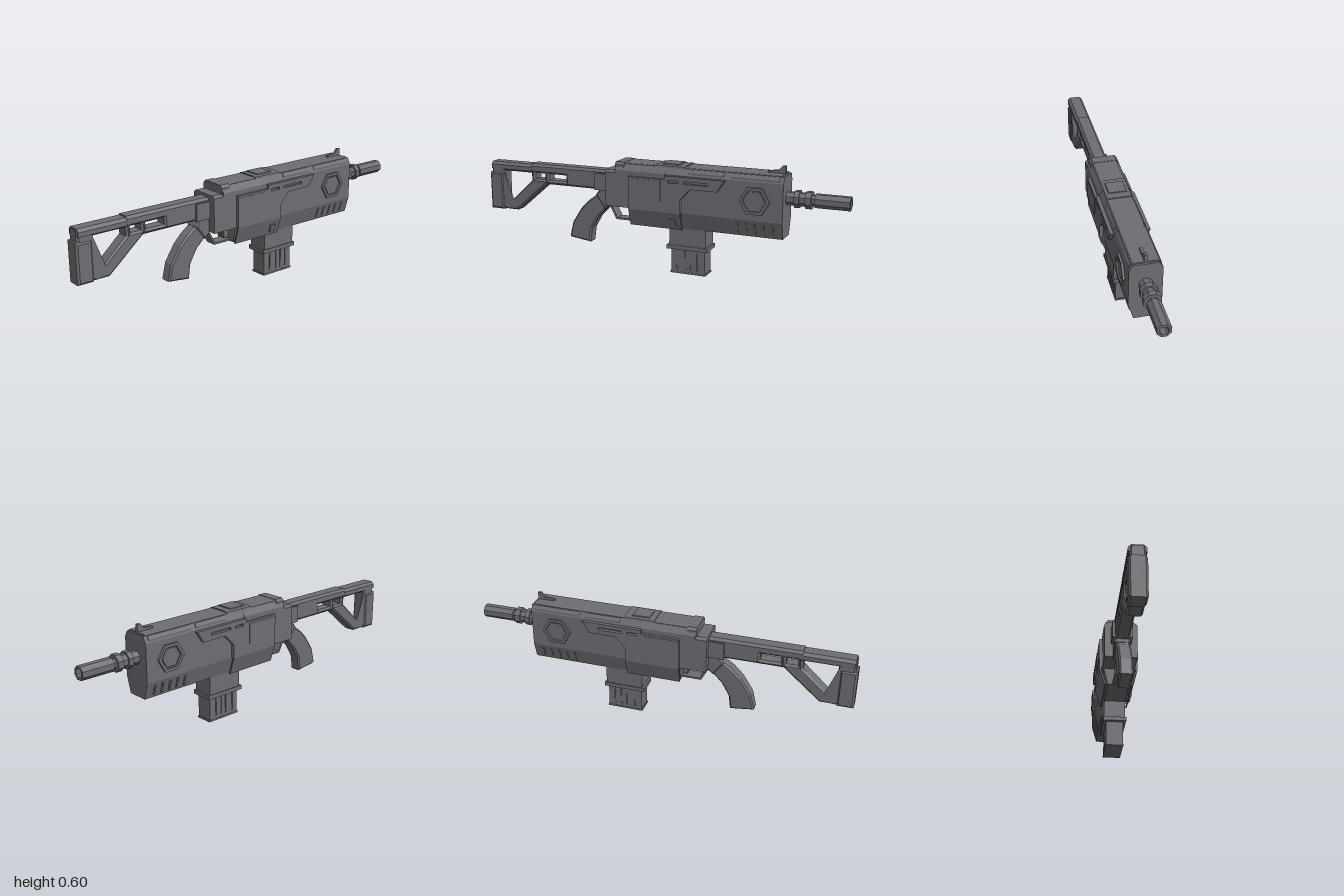
import * as THREE from 'three';

export function createModel() {
  const model = new THREE.Group();
  const gunmetal = new THREE.MeshStandardMaterial({ color: 0x6e6d73 });
  gunmetal.name = 'gunmetal';

  const add = (geo, name) => {
    const mesh = new THREE.Mesh(geo, gunmetal);
    mesh.name = name;
    model.add(mesh);
    return mesh;
  };
  const v2 = (pts) => pts.map(([x, y]) => new THREE.Vector2(x, y));
  const makeShape = (pts, holes = []) => {
    const s = new THREE.Shape(v2(pts));
    holes.forEach((h) => s.holes.push(new THREE.Path(v2(h))));
    return s;
  };
  // Side outline given thickness from z0 to z1, with an optional chamfer
  const slab = (name, pts, z0, z1, { holes, bevel = 0 } = {}) => {
    const geo = new THREE.ExtrudeGeometry(makeShape(pts, holes), {
      depth: z1 - z0 - 2 * bevel, bevelEnabled: bevel > 0, bevelSegments: 1,
      bevelSize: bevel, bevelThickness: bevel, bevelOffset: -bevel,
    });
    return add(geo.translate(0, 0, z0 + bevel), name);
  };
  // The same plate on both flanks
  const flanks = (name, pts, z0, z1, opt) => {
    slab(name + 'Left', pts, z0, z1, opt);
    slab(name + 'Right', pts, -z1, -z0, opt);
  };
  // Cross-section (z, y) carried along x
  const bar = (name, section, x0, x1, holes) => {
    const geo = new THREE.ExtrudeGeometry(makeShape(section, holes), { depth: x1 - x0, bevelEnabled: false });
    return add(geo.rotateY(Math.PI / 2).translate(x0, 0, 0), name);
  };
  const rect = (x0, y0, x1, y1) => [[x0, y0], [x1, y0], [x1, y1], [x0, y1]];
  const box = (name, x0, x1, y0, y1, z) => slab(name, rect(x0, y0, x1, y1), -z, z);
  const mirror = (half) => [...half, ...half.map(([z, y]) => [-z, y]).reverse()];
  const ngon = (n, r, cx, cy, turn = 0) => Array.from({ length: n }, (_, i) => {
    const a = turn + (i * 2 * Math.PI) / n;
    return [cx + r * Math.cos(a), cy + r * Math.sin(a)];
  });
  const octagon = (half) => ngon(8, half / Math.cos(Math.PI / 8), 0, 0.4425, Math.PI / 8);

  // Receiver
  const shell = mirror([[0.055, 0.245], [0.08, 0.33], [0.08, 0.525], [0.063, 0.556]]);
  bar('frontShroud', shell, 0.08, 0.69);
  bar('lowerReceiver', mirror([[0.055, 0.245], [0.076, 0.335]]), -0.12, 0.08);
  bar('receiver', mirror([[0.083, 0.33], [0.083, 0.525], [0.063, 0.556]]), -0.2, 0.08);
  bar('receiverRear', mirror([[0.083, 0.33], [0.083, 0.51], [0.07, 0.522]]), -0.26, -0.2);

  // Top rail, covers and front sight
  bar('topRail', mirror([[0.062, 0.55], [0.062, 0.559], [0.056, 0.563]]), -0.16, 0.68);
  bar('rearTopBlock', mirror([[0.074, 0.515], [0.074, 0.55], [0.062, 0.565]]), -0.205, -0.155);
  bar('topCover', mirror([[0.066, 0.545], [0.062, 0.564], [0.05, 0.568]]), 0.02, 0.18);
  bar('topCoverCap', mirror([[0.05, 0.56], [0.044, 0.573]]), 0.05, 0.14);
  for (const [x0, x1] of [[0.2, 0.39], [0.42, 0.67]]) {
    bar('shoulderRail', mirror([[0.077, 0.522], [0.077, 0.54], [0.066, 0.556]]), x0, x1);
  }
  slab('frontSight', [[0.59, 0.555], [0.68, 0.555], [0.68, 0.6], [0.662, 0.6], [0.645, 0.578], [0.59, 0.572]], -0.007, 0.007);

  // Stepped side plates, bending inwards below the waist
  const upperPlate = [[-0.12, 0.33], [0.167, 0.33], [0.165, 0.4], [0.22, 0.46], [0.36, 0.46], [0.4, 0.52], [0.08, 0.52], [0.08, 0.5], [-0.12, 0.5]];
  const vents = [rect(0.1, 0.485, 0.155, 0.498), rect(0.185, 0.485, 0.31, 0.498)];
  flanks('sidePlate', upperPlate, 0.078, 0.098, { holes: vents });
  for (const s of [1, -1]) {
    const skirt = slab('sideSkirt', rect(-0.12, 0.24, 0.167, 0.33), s > 0 ? 0.09 : -0.098, s > 0 ? 0.098 : -0.09);
    const p = skirt.geometry.attributes.position;
    for (let i = 0; i < p.count; i++) p.setZ(i, p.getZ(i) - s * (0.33 - p.getY(i)) * 0.31);
    skirt.geometry.computeVertexNormals();
  }
  flanks('rearSidePanel', rect(-0.12, 0.385, 0.06, 0.49), 0.0975, 0.1);
  const catchButton = add(new THREE.BoxGeometry(0.036, 0.04, 0.02), 'catchButton');
  catchButton.position.set(0.12, 0.28, 0.078);
  catchButton.rotation.x = 0.3;

  // Hexagonal ports and slanted lower vents
  const hex = ngon(6, 0.077, 0.55, 0.43);
  flanks('hexRing', hex, 0.078, 0.091, { holes: [ngon(6, 0.06, 0.55, 0.43)] });
  flanks('hexCover', ngon(6, 0.052, 0.55, 0.43), 0.078, 0.085);
  for (const s of [1, -1]) for (let i = 0; i < 5; i++) {
    const rib = add(new THREE.BoxGeometry(0.01, 0.055, 0.006), 'lowerVent');
    rib.position.set(0.46 + i * 0.045, 0.285, s * 0.068);
    rib.rotation.x = s * 0.286;
  }

  // Barrel with collars and hollow muzzle
  const bore = mirror([[0.012, 0.4225], [0.02, 0.43], [0.02, 0.455], [0.012, 0.4625]]);
  bar('barrel', octagon(0.026), 0.68, 0.88);
  bar('muzzle', octagon(0.033), 0.83, 1, [bore]);
  bar('barrelSleeve', octagon(0.032), 0.69, 0.8);
  for (const [x0, x1] of [[0.73, 0.755], [0.785, 0.815]]) bar('barrelCollar', octagon(0.041), x0, x1);

  // Magazine well, collar and ribbed magazine
  box('magazineWell', 0.092, 0.29, 0.15, 0.25, 0.055);
  box('magazineCollar', 0.08, 0.3, 0.131, 0.152, 0.06);
  box('magazine', 0.1, 0.283, 0.005, 0.135, 0.039);
  box('magazineBase', 0.095, 0.288, 0, 0.009, 0.046);
  const ribs = [[0.1, 0.13], [0.14, 0.175], [0.185, 0.205], [0.215, 0.24], [0.25, 0.283]];
  ribs.forEach(([x0, x1]) => box('magazineRib', x0, x1, 0.02, 0.131, 0.044));
  box('magazineBand', 0.1, 0.283, 0.005, 0.025, 0.044);

  // Curved grip, its mount, and the trigger guard
  slab('grip', [[-0.505, 0.12], [-0.38, 0.104], [-0.37, 0.18], [-0.33, 0.25], [-0.275, 0.305],
    [-0.33, 0.375], [-0.385, 0.335], [-0.43, 0.29], [-0.485, 0.205]], -0.033, 0.033, { bevel: 0.008 });
  slab('gripMount', [[-0.34, 0.37], [-0.285, 0.295], [-0.235, 0.335], [-0.2, 0.335], [-0.2, 0.42], [-0.3, 0.425]], -0.04, 0.04, { bevel: 0.008 });
  slab('triggerGuard', [[-0.255, 0.31], [-0.222, 0.248], [-0.11, 0.248], [-0.11, 0.257], [-0.216, 0.257], [-0.245, 0.315]], -0.03, 0.03);
  slab('trigger', [[-0.15, 0.335], [-0.145, 0.262], [-0.11, 0.262], [-0.11, 0.335]], -0.012, 0.012);

  // Skeleton stock
  slab('stock', [[-0.99, 0.238], [-0.83, 0.238], [-0.64, 0.4], [-0.25, 0.4], [-0.25, 0.495], [-0.99, 0.495]], -0.037, 0.037, {
    bevel: 0.01,
    holes: [
      [[-0.905, 0.455], [-0.735, 0.455], [-0.735, 0.412], [-0.905, 0.255]],
      rect(-0.71, 0.423, -0.65, 0.457), rect(-0.625, 0.423, -0.52, 0.457),
    ],
  });
  bar('stockTopCover', mirror([[0.04, 0.475], [0.04, 0.495], [0.028, 0.508]]), -0.73, -0.25);
  bar('stockTopRear', mirror([[0.042, 0.465], [0.042, 0.488], [0.028, 0.502]]), -0.985, -0.73);
  slab('buttPad', [[-1, 0.235], [-0.915, 0.235], [-0.915, 0.44], [-1, 0.44]], -0.043, 0.043, { bevel: 0.01 });
  box('stockClamp', -0.34, -0.25, 0.4, 0.49, 0.05);
  return model;
}
